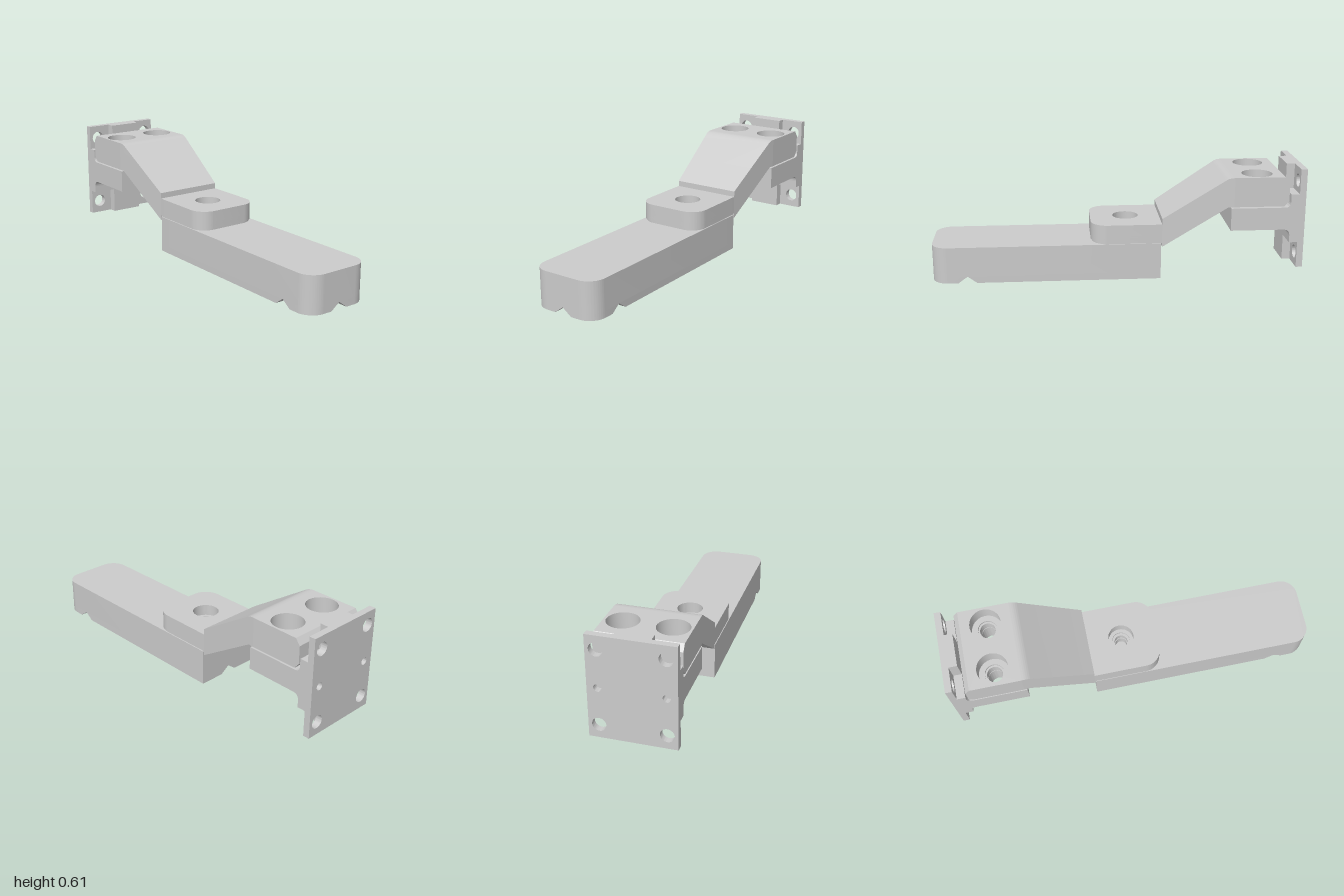
import * as THREE from 'three';
import { toCreasedNormals } from 'three/addons/utils/BufferGeometryUtils.js';

const material = new THREE.MeshStandardMaterial({ color: 0xcccccc });

function addMesh(parent, name, geometry) {
  const mesh = new THREE.Mesh(toCreasedNormals(geometry, 0.6), material);
  mesh.name = name;
  parent.add(mesh);
  return mesh;
}

const extrude = (shape, depth) =>
  new THREE.ExtrudeGeometry(shape, { depth, bevelEnabled: false, curveSegments: 20 });

// plan shape (x, z) raised from y0 to y1
const slab = (shape, y0, y1) => extrude(shape, y1 - y0).rotateX(Math.PI / 2).translate(0, y1, 0);

// side profile (z, y) spread over the width -w..w
const profile = (shape, w) => extrude(shape, 2 * w).rotateY(-Math.PI / 2).translate(w, 0, 0);

const polygon = (points) => new THREE.Shape(points.map(([x, y]) => new THREE.Vector2(x, y)));

function drill(shape, holes) {
  for (const [x, y, r] of holes) shape.holes.push(new THREE.Path().absarc(x, y, r, 0, Math.PI * 2, true));
  return shape;
}

const rectangle = (w, y0, y1) => polygon([[-w, y0], [w, y0], [w, y1], [-w, y1]]);

// strip in plan with two rounded front corners
function tongue(w, z0, z1, r) {
  const s = new THREE.Shape();
  s.moveTo(-w, z0);
  s.lineTo(w, z0);
  s.lineTo(w, z1 - r);
  s.absarc(w - r, z1 - r, r, 0, Math.PI / 2);
  s.absarc(r - w, z1 - r, r, Math.PI / 2, Math.PI);
  s.closePath();
  return s;
}

const W = 0.19, WIDE = 0.222, GROOVE = 0.037, HALF = 0.05, CROSS = 0.81;
const PIVOT_Z = -0.05, BOLT_X = 0.125, BOLT_Z = -0.75;

// underside quarter whose groove edges slope inwards
function foot(side, x0, z0, z1, r) {
  const s = new THREE.Shape();
  s.moveTo(x0, z0);
  s.lineTo(W, z0);
  s.lineTo(W, z1 - r);
  if (r) s.absarc(W - r, z1 - r, r, 0, Math.PI / 2);
  s.lineTo(x0, z1);
  const shape = new THREE.Shape(s.getPoints(20).map((p) => new THREE.Vector2(p.x * side, p.y)));
  const g = slab(shape, 0, GROOVE);
  const p = g.attributes.position;
  for (let i = 0; i < p.count; i++) {
    if (p.getY(i) > 0.001) continue;
    if (Math.abs(p.getX(i)) < HALF) p.setX(i, side * HALF);
    if (Math.abs(p.getZ(i) - CROSS) < 0.001) p.setZ(i, CROSS + (z0 > 0.5 ? HALF : -HALF));
  }
  g.computeVertexNormals();
  return g;
}

function buildBar() {
  const bar = new THREE.Group();
  bar.name = 'grippingBar';
  addMesh(bar, 'barBody', slab(drill(tongue(W, -0.23, 1, 0.09), [[0, PIVOT_Z, 0.032]]), GROOVE, 0.2));
  for (const side of [1, -1]) {
    addMesh(bar, 'barFoot', foot(side, 0, CROSS, 1, 0.09));
    addMesh(bar, 'barFoot', foot(side, 0, PIVOT_Z + 0.03, CROSS, 0));
    addMesh(bar, 'barFoot', foot(side, 0.028, PIVOT_Z - 0.03, PIVOT_Z + 0.03, 0));
    addMesh(bar, 'barFoot', foot(side, 0, -0.23, PIVOT_Z - 0.03, 0));
  }
  // plug closing the pivot hole
  addMesh(bar, 'pivotPlug', new THREE.CylinderGeometry(0.032, 0.032, 0.04, 32).translate(0, 0.13, PIVOT_Z));
  return bar;
}

function buildArm() {
  const arm = new THREE.Group();
  arm.name = 'crankedArm';

  // front tab with a stepped pivot hole
  addMesh(arm, 'tabSpacer', slab(drill(tongue(W - 0.006, -0.235, 0.139, 0.085), [[0, PIVOT_Z, 0.036]]), 0.2, 0.209));
  for (const [y0, y1, r] of [[0.209, 0.235, 0.036], [0.235, 0.245, 0.05], [0.245, 0.306, 0.07]])
    addMesh(arm, 'pivotTab', slab(drill(tongue(W, -0.235, 0.145, 0.09), [[0, PIVOT_Z, r]]), y0, y1));

  // sloping web, widening towards the back
  const side = new THREE.Shape();
  side.moveTo(-0.235, 0.18);
  side.lineTo(-0.235, 0.337);
  side.lineTo(-0.565, 0.548);
  side.quadraticCurveTo(-0.585, 0.563, -0.615, 0.563);
  side.lineTo(-0.615, 0.403);
  side.lineTo(-0.585, 0.403);
  side.closePath();
  const web = profile(side, 1);
  const p = web.attributes.position;
  for (let i = 0; i < p.count; i++) {
    const t = Math.min(1, (-0.235 - p.getZ(i)) / 0.38);
    p.setX(i, p.getX(i) * THREE.MathUtils.lerp(W, WIDE - 0.002, t));
  }
  web.computeVertexNormals();
  addMesh(arm, 'slopingWeb', web);

  // rear block with two stepped bolt holes and a chamfered back
  for (const [y0, y1, r] of [[0.403, 0.46, 0.042], [0.46, 0.472, 0.052], [0.472, 0.563, 0.083]]) {
    const holes = [[BOLT_X, BOLT_Z, r], [-BOLT_X, BOLT_Z, r]];
    addMesh(arm, 'boltBlock', slab(drill(rectangle(WIDE - 0.002, -0.885, -0.615), holes), y0, y1));
  }
  addMesh(arm, 'chamferedBack', profile(
    polygon([[-0.885, 0.403], [-0.91, 0.433], [-0.91, 0.53], [-0.885, 0.563]]), WIDE - 0.002));
  return arm;
}

function buildBracket() {
  const bracket = new THREE.Group();
  bracket.name = 'mountingBracket';

  // shelf below the arm
  const bolts = [[BOLT_X, BOLT_Z, 0.042], [-BOLT_X, BOLT_Z, 0.042]];
  addMesh(bracket, 'shelf', slab(drill(rectangle(WIDE, -0.921, -0.6), bolts), 0.273, 0.396));

  // fillets between shelf and plate
  for (const [y, d] of [[0.273, -0.035], [0.396, 0.03]]) {
    const f = new THREE.Shape();
    f.moveTo(-0.921, y);
    f.lineTo(-0.92 + Math.abs(d), y);
    f.quadraticCurveTo(-0.92, y, -0.92, y + d);
    f.lineTo(-0.921, y + d);
    addMesh(bracket, 'shelfFillet', profile(f, WIDE));
  }

  // raised cross leaving four corner pockets
  const c = 0.09, lo = 0.2, hi = 0.468, y0 = 0.058, y1 = 0.605;
  const cross = polygon([[-c, y0], [c, y0], [c, lo], [WIDE, lo], [WIDE, hi], [c, hi],
    [c, y1], [-c, y1], [-c, hi], [-WIDE, hi], [-WIDE, lo], [-c, lo]]);
  addMesh(bracket, 'raisedCross', extrude(cross, 0.045).translate(0, 0, -0.965));

  // back plate with corner screw holes and two blind pin holes
  const holes = [];
  for (const x of [-0.168, 0.168])
    for (const [y, r] of [[0.13, 0.036], [0.533, 0.036], [0.33, 0.02]]) holes.push([x, y, r]);
  addMesh(bracket, 'backPlate', extrude(drill(rectangle(WIDE, y0, y1), holes), 0.035).translate(0, 0, -1));
  return bracket;
}

export function createModel() {
  const model = new THREE.Group();
  model.name = 'clampArm';
  model.add(buildBar(), buildArm(), buildBracket());
  return model;
}
